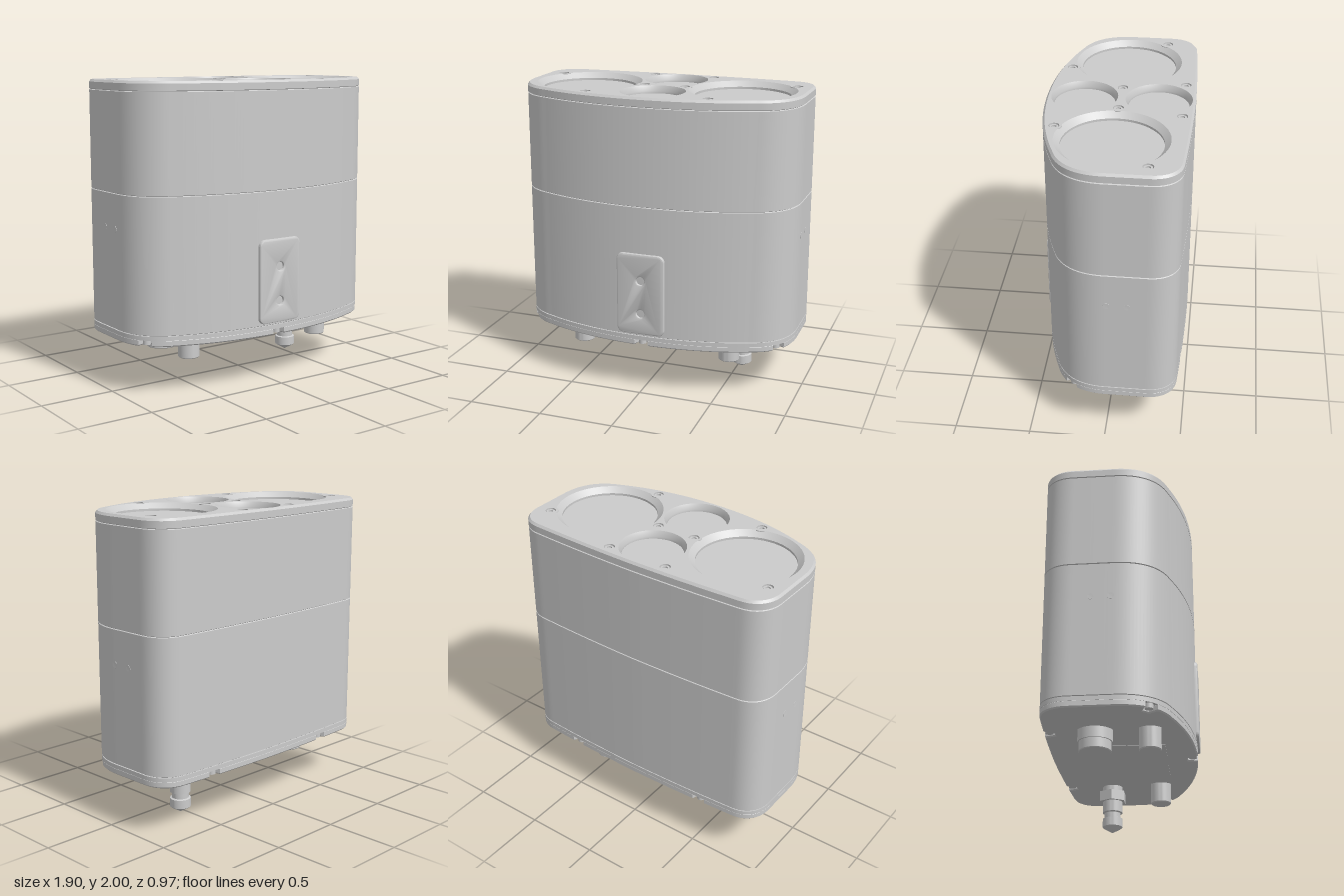
import * as THREE from 'three';
import { toCreasedNormals } from 'three/addons/utils/BufferGeometryUtils.js';

const V = (x, y) => new THREE.Vector2(x, y);
const grey = new THREE.MeshStandardMaterial({ color: 0xcccccc });

// Plan outline of the housing as (x, z): back centre -> left side -> front -> right side
function makeOutline() {
  const path = new THREE.CurvePath();
  path.add(new THREE.QuadraticBezierCurve(V(0, -0.483), V(0.4, -0.48), V(0.79, -0.455)));
  path.add(new THREE.CubicBezierCurve(V(0.79, -0.455), V(0.89, -0.445), V(0.95, -0.37), V(0.95, -0.27)));
  path.add(new THREE.LineCurve(V(0.95, -0.27), V(0.95, 0)));
  path.add(new THREE.CubicBezierCurve(V(0.95, 0), V(0.95, 0.18), V(0.86, 0.29), V(0.72, 0.335)));
  path.add(new THREE.QuadraticBezierCurve(V(0.72, 0.335), V(0.4, 0.468), V(0, 0.468)));
  const half = path.getSpacedPoints(110);
  return [...half, ...half.slice(1, -1).reverse().map(p => V(-p.x, p.y))];
}
const outline = makeOutline();
const N = outline.length;
const normals = outline.map((_, i) => {
  const t = outline[(i + 1) % N].clone().sub(outline[(i + N - 1) % N]).normalize();
  return V(t.y, -t.x);
});
const inset = d => outline.map((p, i) => p.clone().addScaledVector(normals[i], -d));

// Shapes lie in (x, -z) so that a quarter turn about x lays them flat
const planShape = pts => new THREE.Shape(pts.map(p => V(p.x, -p.y)));
function addHole(shape, x, y, r) {
  const hole = new THREE.Path();
  hole.absarc(x, y, r, 0, Math.PI * 2, true);
  shape.holes.push(hole);
}

// Wall that follows the outline through rings of [height, inset]
function wall(rings) {
  const pos = [], idx = [];
  for (const [y, d] of rings) for (const p of inset(d)) pos.push(p.x, y, p.y);
  for (let r = 0; r < rings.length - 1; r++) for (let i = 0; i < N; i++) {
    const a = r * N + i, b = r * N + (i + 1) % N;
    idx.push(a, a + N, b, b, a + N, b + N);
  }
  const g = new THREE.BufferGeometry();
  g.setAttribute('position', new THREE.Float32BufferAttribute(pos, 3));
  g.setIndex(idx);
  return toCreasedNormals(g, 0.5);
}
const lathe = (profile, seg = 48) =>
  toCreasedNormals(new THREE.LatheGeometry(profile.map(([x, y]) => V(x, y)), seg), 0.5);

export function createModel() {
  const model = new THREE.Group();
  const add = (name, geo, x = 0, y = 0, z = 0) => {
    const m = new THREE.Mesh(geo, grey);
    m.name = name;
    m.position.set(x, y, z);
    model.add(m);
    return m;
  };

  // Housing sections, with fine grooves between them
  const section = (y0, y1) => wall([[y0, 0.007], [y0 + 0.004, 0], [y1 - 0.004, 0], [y1, 0.007]]);
  add('lowerBody', section(0.4, 1.29));
  add('upperBody', section(1.29, 1.937));
  add('capRim', wall([[1.937, 0.007], [1.941, 0], [1.985, 0], [2, 0.013]]));

  // Cap face with four lens wells and screw bores
  const wells = [[-0.535, -0.01, 0.353, 0.038], [0.535, -0.01, 0.353, 0.038],
    [0, -0.25, 0.213, 0.018], [0, 0.225, 0.213, 0.018]];
  const screws = [[0.215, -0.41], [0.84, -0.25], [0.14, -0.005], [0.412, 0.36]]
    .flatMap(([x, z]) => [[x, z], [-x, z]]);
  const top = planShape(inset(0.013));
  for (const [x, z, r] of wells) addHole(top, x, -z, r);
  for (const [x, z] of screws) addHole(top, x, -z, 0.034);
  add('capFace', new THREE.ShapeGeometry(top, 32).rotateX(-Math.PI / 2), 0, 2, 0);
  for (const [x, z, r, taper] of wells)
    add('lensWell', lathe([[r, 0], [r - taper, -0.035], [r - taper, -0.05], [0, -0.05]], 64), x, 2, z);
  const screwGeo = lathe([[0.05, -0.003], [0.05, 0.002], [0.034, 0.002], [0.034, -0.02], [0.028, -0.02],
    [0.028, -0.004], [0.016, -0.004], [0.016, -0.014], [0, -0.014]], 24);
  for (const [x, z] of screws) add('capScrew', screwGeo, x, 1.998, z);

  // Base: a full layer over a notched plate
  const solid = new THREE.ExtrudeGeometry(planShape(outline), { depth: 0.028, bevelEnabled: false });
  add('baseLayer', toCreasedNormals(solid.rotateX(-Math.PI / 2), 0.5), 0, 0.37, 0);

  const notched = outline.map(p => p.clone());
  const notchSpots = [];
  for (const target of [V(0, 0.47), V(0.88, 0.22), V(-0.88, 0.22), V(0.53, -0.475), V(-0.53, -0.475)]) {
    let k = 0;
    outline.forEach((p, i) => { if (p.distanceTo(target) < outline[k].distanceTo(target)) k = i; });
    outline.forEach((p, i) => {
      if (p.distanceTo(outline[k]) < 0.045) notched[i].addScaledVector(normals[k], -0.065);
    });
    notchSpots.push(outline[k].clone().addScaledVector(normals[k], -0.033));
  }
  const plate = planShape(notched);
  for (const x of [-0.79, 0.79]) for (const z of [-0.29, -0.14, 0.01]) addHole(plate, x, -z, 0.024);
  addHole(plate, 0.53, -0.19, 0.1);
  addHole(plate, -0.53, -0.19, 0.1);
  addHole(plate, -0.53, 0.15, 0.13);
  const plateGeo = new THREE.ExtrudeGeometry(plate, {
    depth: 0.03, bevelThickness: 0.008, bevelSize: 0.008, bevelOffset: -0.008, bevelSegments: 1, curveSegments: 20,
  });
  add('basePlate', toCreasedNormals(plateGeo.rotateX(-Math.PI / 2), 0.5), 0, 0.338, 0);
  for (const p of notchSpots)
    add('notchScrew', new THREE.CylinderGeometry(0.026, 0.026, 0.04, 20), p.x, 0.36, p.y);
  add('basePanel', new THREE.BoxGeometry(0.6, 0.006, 0.5), 0, 0.33, 0.02);

  // Connectors under the base (profiles run from the bottom up)
  for (const x of [-0.53, 0.53])
    add('plainPlug', lathe([[0, 0.2], [0.064, 0.2], [0.07, 0.206], [0.07, 0.38]]), x, 0, 0.19);
  add('wideConnector', lathe([[0, 0.2], [0.098, 0.2], [0.102, 0.205], [0.102, 0.265],
    [0.11, 0.265], [0.11, 0.38]]), -0.53, 0, -0.15);
  add('nipple', lathe([[0, 0], [0.06, 0.035], [0.069, 0.042], [0.069, 0.1], [0.056, 0.105], [0.056, 0.14],
    [0.069, 0.145], [0.069, 0.34]]), 0.53, 0, -0.15);
  const nut = new THREE.CylinderGeometry(0.097, 0.097, 0.07, 6).rotateY(Math.PI / 6);
  add('nippleNut', toCreasedNormals(nut, 0.3), 0.53, 0.257, -0.15);

  // Raised front mounting pad with two holes
  const w = 0.165, h = 0.28, r = 0.045;
  const pad = new THREE.Shape();
  pad.absarc(w - r, h - r, r, 0, Math.PI / 2);
  pad.absarc(r - w, h - r, r, Math.PI / 2, Math.PI);
  pad.absarc(r - w, r - h, r, Math.PI, Math.PI * 1.5);
  pad.absarc(w - r, r - h, r, Math.PI * 1.5, Math.PI * 2);
  addHole(pad, 0, 0.095, 0.028);
  addHole(pad, 0, -0.135, 0.028);
  const padGeo = new THREE.ExtrudeGeometry(pad, {
    depth: 0.03, bevelThickness: 0.012, bevelSize: 0.012, bevelOffset: -0.012, bevelSegments: 2,
  });
  add('mountingPad', toCreasedNormals(padGeo, 0.6), 0, 0.695, 0.442);

  // Pairs of small sockets on both sides
  const socket = lathe([[0.022, -0.004], [0.022, 0.002], [0.016, 0.002], [0, 0.0005]], 20);
  for (const s of [-1, 1]) for (const z of [-0.14, -0.015])
    add('sideSocket', socket, s * 0.95, 1.06, z).rotation.z = -s * Math.PI / 2;

  return model;
}
